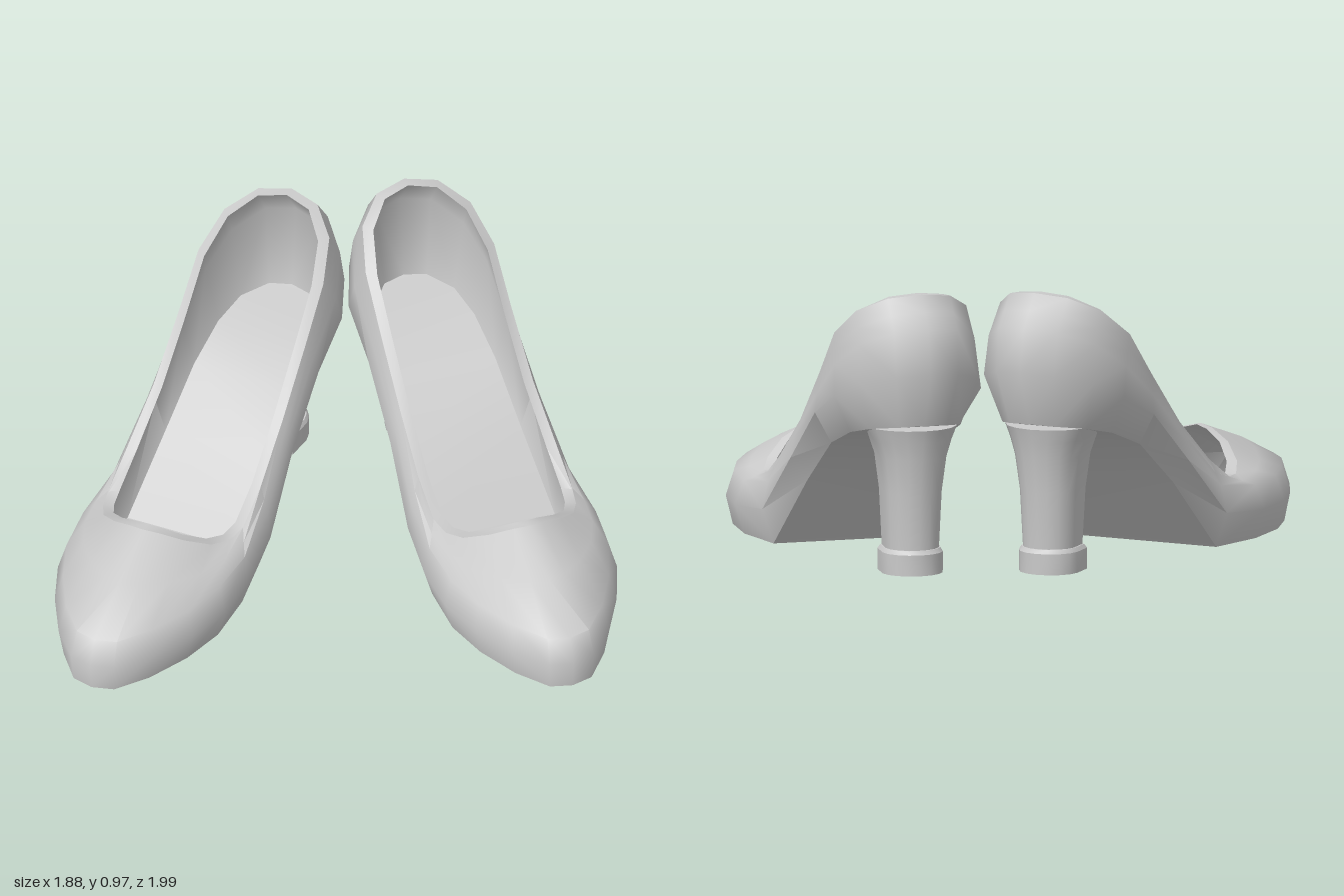
import * as THREE from 'three';
import { toCreasedNormals } from 'three/addons/utils/BufferGeometryUtils.js';

const material = new THREE.MeshStandardMaterial({ color: 0xcccccc, side: THREE.DoubleSide });

// Half outlines [x, y, z], running from the toe round one side to the heel
const SOLE = [[0, 0, .99], [.075, 0, .97], [.16, 0, .86], [.235, 0, .71], [.285, 0, .55], [.295, 0, .35],
  [.26, 0, .13], [.215, .25, -.08], [.2, .41, -.28], [.19, .475, -.46], [.16, .505, -.59], [.085, .52, -.68], [0, .525, -.7]];
const WIDEST = [[0, .1, 1], [.08, .1, .98], [.175, .1, .87], [.255, .1, .715], [.31, .1, .55], [.325, .1, .36],
  [.3, .12, .13], [.275, .33, -.08], [.265, .52, -.3], [.26, .61, -.5], [.21, .67, -.63], [.11, .7, -.73], [0, .71, -.77]];
const SHOULDER = [[0, .185, .965], [.075, .185, .945], [.16, .19, .84], [.235, .19, .69], [.285, .19, .53], [.3, .185, .34],
  [.285, .215, .12], [.262, .4, -.08], [.252, .585, -.285], [.25, .71, -.47], [.205, .8, -.605], [.112, .85, -.71], [0, .86, -.74]];
const RIM = [[0, .345, .53], [.05, .335, .515], [.13, .3, .475], [.2, .25, .4], [.235, .222, .32], [.25, .225, .24],
  [.25, .305, .1], [.24, .46, -.08], [.235, .65, -.26], [.232, .81, -.41], [.195, .905, -.54], [.11, .957, -.63], [0, .97, -.66]];

// Rings derived from the outlines above
const VAMP = SHOULDER.map((p, i) => {
  const lift = i < 5 ? .012 : 0;
  return [(p[0] + RIM[i][0]) / 2, (p[1] + RIM[i][1]) / 2 + lift, (p[2] + RIM[i][2]) / 2];
});
const INNER_RIM = RIM.map(([x, y, z]) => [x * .86, y, z * .94]);
const LINING = SHOULDER.map(([x, y, z]) => [x * .88, y, z * .94]);
const INSOLE = SOLE.map(([x, y, z]) => [x * .9, y + .03, z * .95]);

// Mirror a half outline into a closed loop, bowing the ball of the foot outward
function loop(half) {
  const left = half.slice(1, -1).reverse().map(([x, y, z]) => [-x, y, z]);
  return [...half, ...left].map(([x, y, z]) => [x - .025 * Math.exp(-(((z - .25) / .38) ** 2)), y, z]);
}

// Turn points and triangles into a geometry; side = -1 mirrors it
function makeGeometry(points, tris, side, crease) {
  const geo = new THREE.BufferGeometry();
  const pos = points.flatMap(([x, y, z]) => [x * side, y, z]);
  geo.setAttribute('position', new THREE.Float32BufferAttribute(pos, 3));
  geo.setIndex(tris.flatMap(([a, b, c]) => (side > 0 ? [a, b, c] : [a, c, b])));
  return toCreasedNormals(geo, crease);
}

// Skin a stack of closed rings, optionally closing both ends
function loft(rings, side, crease, capped = false) {
  const n = rings[0].length, tris = [], top = (rings.length - 1) * n;
  for (let i = 0; i < rings.length - 1; i++) {
    for (let j = 0; j < n; j++) {
      const a = i * n + j, b = i * n + (j + 1) % n;
      tris.push([a, b, b + n], [a, b + n, a + n]);
    }
  }
  if (capped) {
    for (let j = 1; j < n - 1; j++) tris.push([0, j + 1, j], [top, top + j, top + j + 1]);
  }
  return makeGeometry(rings.flat(), tris, side, crease);
}

// Fill a mirrored loop with strips that run from side to side
function fill(ring, side, up) {
  const n = ring.length, tris = [];
  const add = (a, b, c) => {
    if (a !== b && b !== c && c !== a) tris.push(up ? [a, b, c] : [a, c, b]);
  };
  for (let k = 0; k < n / 2; k++) {
    const l0 = (n - k) % n, l1 = n - k - 1;
    add(k, k + 1, l1);
    add(k, l1, l0);
  }
  return makeGeometry(ring, tris, side, .45);
}

// Heel section: flat at the front, round at the back
function heelRing(y, w, front, back) {
  const ring = [[w * .9, y, front]], mid = back + w * .95;
  for (let i = 0; i <= 8; i++) {
    const a = Math.PI * i / 8;
    ring.push([w * Math.cos(a), y, mid + (back - mid) * Math.sin(a)]);
  }
  ring.push([-w * .9, y, front]);
  return ring;
}

function makeShoe(side, name) {
  const shoe = new THREE.Group();
  shoe.name = name;
  const add = (part, geo) => {
    const mesh = new THREE.Mesh(geo, material);
    mesh.name = part;
    shoe.add(mesh);
  };

  // Shoe body
  add('upper', loft([SOLE, WIDEST, SHOULDER, VAMP, RIM].map(loop), side, .9));
  add('openingRim', loft([RIM, INNER_RIM].map(loop), side, .9));
  add('lining', loft([INNER_RIM, LINING, INSOLE].map(loop), side, 1));
  add('insole', fill(loop(INSOLE), side, true));
  add('sole', fill(loop(SOLE), side, false));

  // Heel and its tip
  add('heel', loft([
    heelRing(.08, .092, -.47, -.637),
    heelRing(.28, .1, -.46, -.65),
    heelRing(.4, .115, -.45, -.668),
    heelRing(.46, .135, -.44, -.68),
    heelRing(.505, .155, -.44, -.692),
  ], side, .7, true));
  add('heelTip', loft([
    heelRing(0, .105, -.458, -.65),
    heelRing(.072, .105, -.458, -.652),
    heelRing(.086, .097, -.465, -.643),
  ], side, .5, true));
  return shoe;
}

export function createModel() {
  const model = new THREE.Group();
  model.name = 'pairOfShoes';

  const rightShoe = makeShoe(1, 'rightShoe');
  rightShoe.position.x = -.58;

  const leftShoe = makeShoe(-1, 'leftShoe');
  leftShoe.position.set(.208, 0, -.395);
  leftShoe.rotation.y = THREE.MathUtils.degToRad(44.5);

  model.add(rightShoe, leftShoe);
  return model;
}
